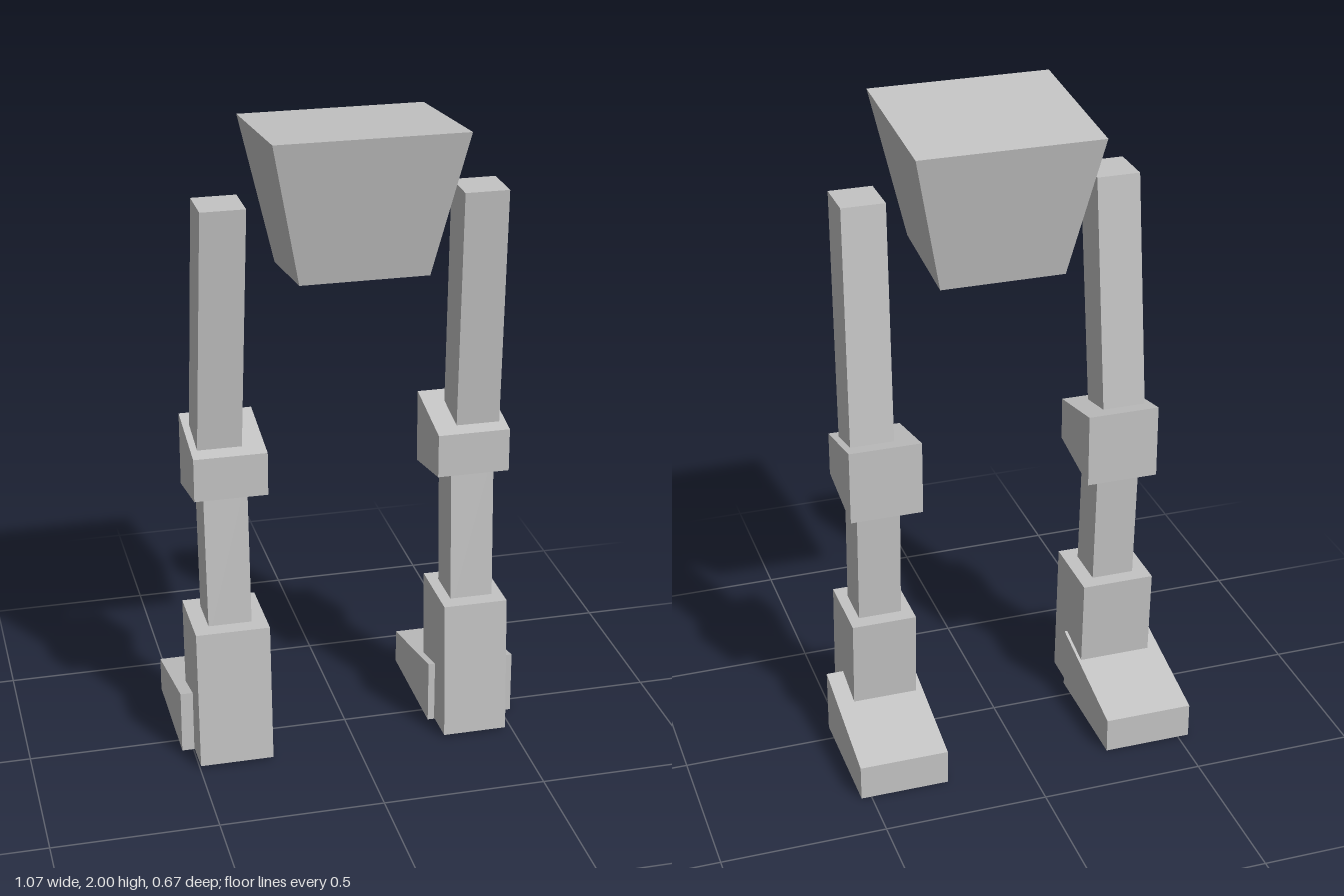
import * as THREE from 'three';

// Six-sided block: x ranges for top and bottom, and side corners as [z, y].
function block(name, material, { topX, bottomX, topFront, topBack, bottomFront, bottomBack }) {
  const geometry = new THREE.BoxGeometry(2, 2, 2);
  const p = geometry.attributes.position;
  for (let i = 0; i < p.count; i++) {
    const top = p.getY(i) > 0;
    const front = p.getZ(i) > 0;
    const range = top ? topX : bottomX;
    const [z, y] = top ? (front ? topFront : topBack) : (front ? bottomFront : bottomBack);
    p.setXYZ(i, range[p.getX(i) > 0 ? 1 : 0], y, z);
  }
  geometry.computeVertexNormals();
  const mesh = new THREE.Mesh(geometry, material);
  mesh.name = name;
  return mesh;
}

function createLeg(side, material) {
  const leg = new THREE.Group();
  leg.name = side > 0 ? 'leftLeg' : 'rightLeg';
  // Ranges are given for the +x leg and reflected for the other one
  const span = (a, b) => (side > 0 ? [a, b] : [-b - 0.004, -a - 0.004]);

  leg.add(block('thigh', material, {
    topX: span(0.316, 0.449), bottomX: span(0.328, 0.462),
    topFront: [0.155, 1.77], topBack: [0.013, 1.77],
    bottomFront: [0.073, 0.95], bottomBack: [-0.063, 0.95],
  }));
  leg.add(block('knee', material, {
    topX: span(0.259, 0.481), bottomX: span(0.259, 0.481),
    topFront: [0.125, 1.01], topBack: [-0.115, 1.06],
    bottomFront: [0.125, 0.875], bottomBack: [-0.115, 0.83],
  }));
  leg.add(block('shin', material, {
    topX: span(0.313, 0.447), bottomX: span(0.312, 0.445),
    topFront: [0.077, 0.92], topBack: [-0.058, 0.92],
    bottomFront: [0.106, 0.4], bottomBack: [-0.032, 0.4],
  }));
  // The left ankle is slightly narrower than the right one
  const ankleX = side > 0 ? [0.278, 0.478] : [-0.497, -0.27];
  leg.add(block('ankle', material, {
    topX: ankleX, bottomX: ankleX,
    topFront: [0.155, 0.447], topBack: [-0.083, 0.447],
    bottomFront: [0.18, 0.008], bottomBack: [-0.06, 0],
  }));
  leg.add(block('foot', material, {
    topX: span(0.257, 0.531), bottomX: span(0.257, 0.531),
    topFront: [0.063, 0.2], topBack: [-0.333, 0.11],
    bottomFront: [0.063, 0], bottomBack: [-0.333, 0],
  }));
  return leg;
}

export function createModel() {
  const model = new THREE.Group();
  model.name = 'walkerLegs';
  const grey = new THREE.MeshStandardMaterial({ color: 0xc4c4c4 });
  grey.name = 'lightGrey';

  // Tapered hip block, tipped down towards the back
  model.add(block('hips', grey, {
    topX: [-0.281, 0.279], bottomX: [-0.191, 0.189],
    topFront: [0.333, 2], topBack: [-0.167, 1.955],
    bottomFront: [0.247, 1.565], bottomBack: [-0.085, 1.525],
  }));
  for (const side of [-1, 1]) model.add(createLeg(side, grey));
  return model;
}
